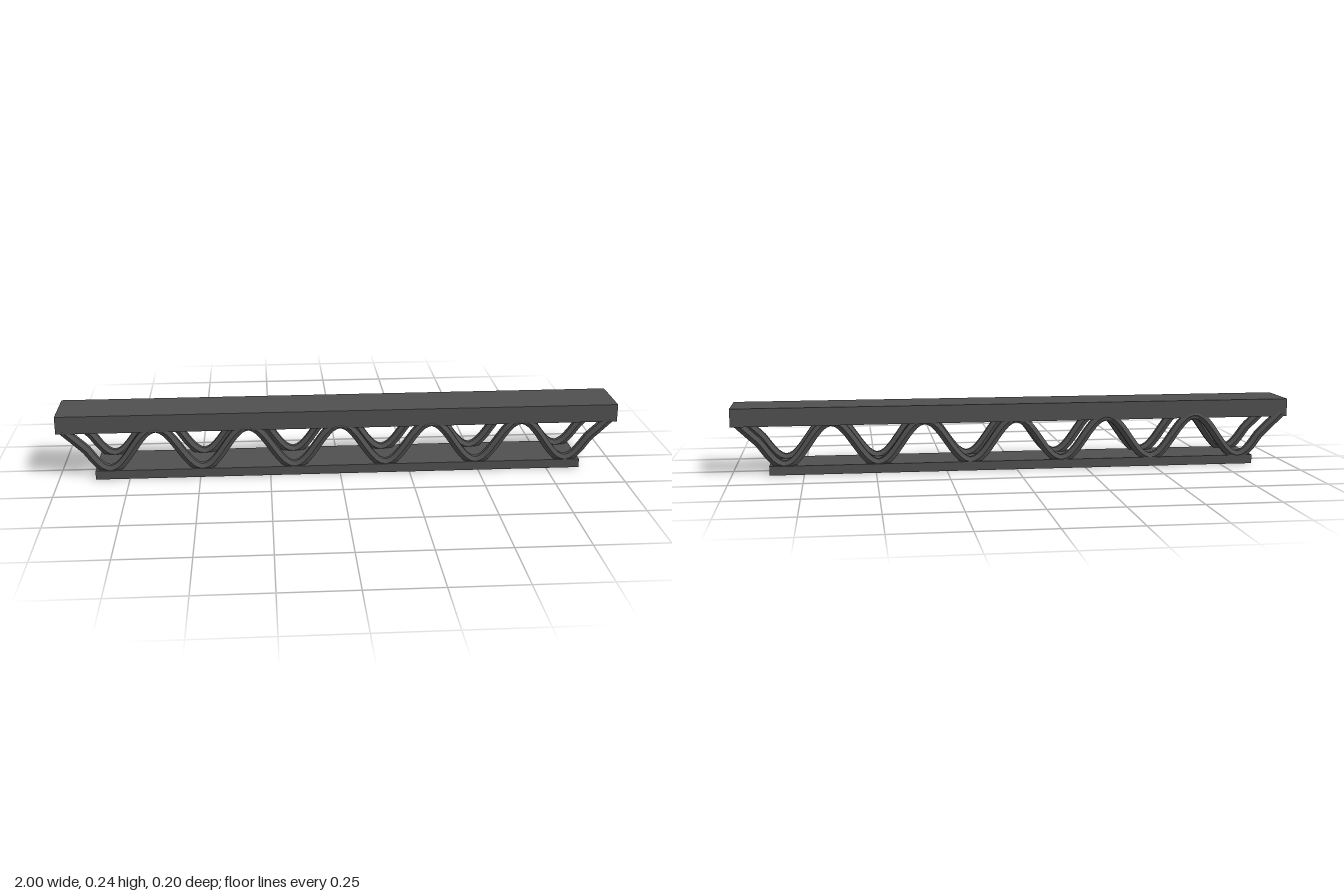
import * as THREE from 'three';

const darkSteel = new THREE.MeshStandardMaterial({ color: 0x505050 });
darkSteel.name = 'darkSteel';

// Box given by its limits on each axis
function beam(name, [x0, x1], [y0, y1], [z0, z1]) {
  const mesh = new THREE.Mesh(new THREE.BoxGeometry(x1 - x0, y1 - y0, z1 - z0), darkSteel);
  mesh.position.set((x0 + x1) / 2, (y0 + y1) / 2, (z0 + z1) / 2);
  mesh.name = name;
  return mesh;
}

// Height of the bent rod: a wave that runs out straight at both ends
const PERIOD = 0.327;
function rodHeight(x) {
  const a = Math.abs(x);
  if (a > 0.9) return 0.108 + (a - 0.9) * 0.95;
  return 0.107 + 0.076 * Math.cos((2 * Math.PI * x) / PERIOD);
}

// Hexagonal rod bent into a zigzag between the two chords
function lattice(name, zStart, zEnd) {
  const points = [];
  const count = 72;
  for (let i = 0; i <= count; i++) {
    const t = i / count;
    const x = -0.98 + 1.965 * t;
    points.push(new THREE.Vector3(x, rodHeight(x), zStart + (zEnd - zStart) * t));
  }
  const hexagon = new THREE.Shape();
  for (let i = 0; i < 6; i++) {
    const a = (i * Math.PI) / 3;
    hexagon[i ? 'lineTo' : 'moveTo'](0.0175 * Math.cos(a), 0.0175 * Math.sin(a));
  }
  hexagon.closePath();
  const geometry = new THREE.ExtrudeGeometry(hexagon, {
    steps: 144,
    bevelEnabled: false,
    extrudePath: new THREE.CatmullRomCurve3(points),
  });
  const mesh = new THREE.Mesh(geometry, darkSteel);
  mesh.name = name;
  return mesh;
}

export function createModel() {
  const model = new THREE.Group();
  model.name = 'latticeGirder';
  model.add(
    beam('topChord', [-1, 1], [0.172, 0.236], [-0.092, 0.095]),
    beam('bottomChord', [-0.87, 0.87], [0, 0.032], [-0.095, 0.099]),
    lattice('frontLattice', 0.078, 0.078),
    // The rear rod runs slightly askew
    lattice('rearLattice', -0.08, -0.068),
  );
  return model;
}
